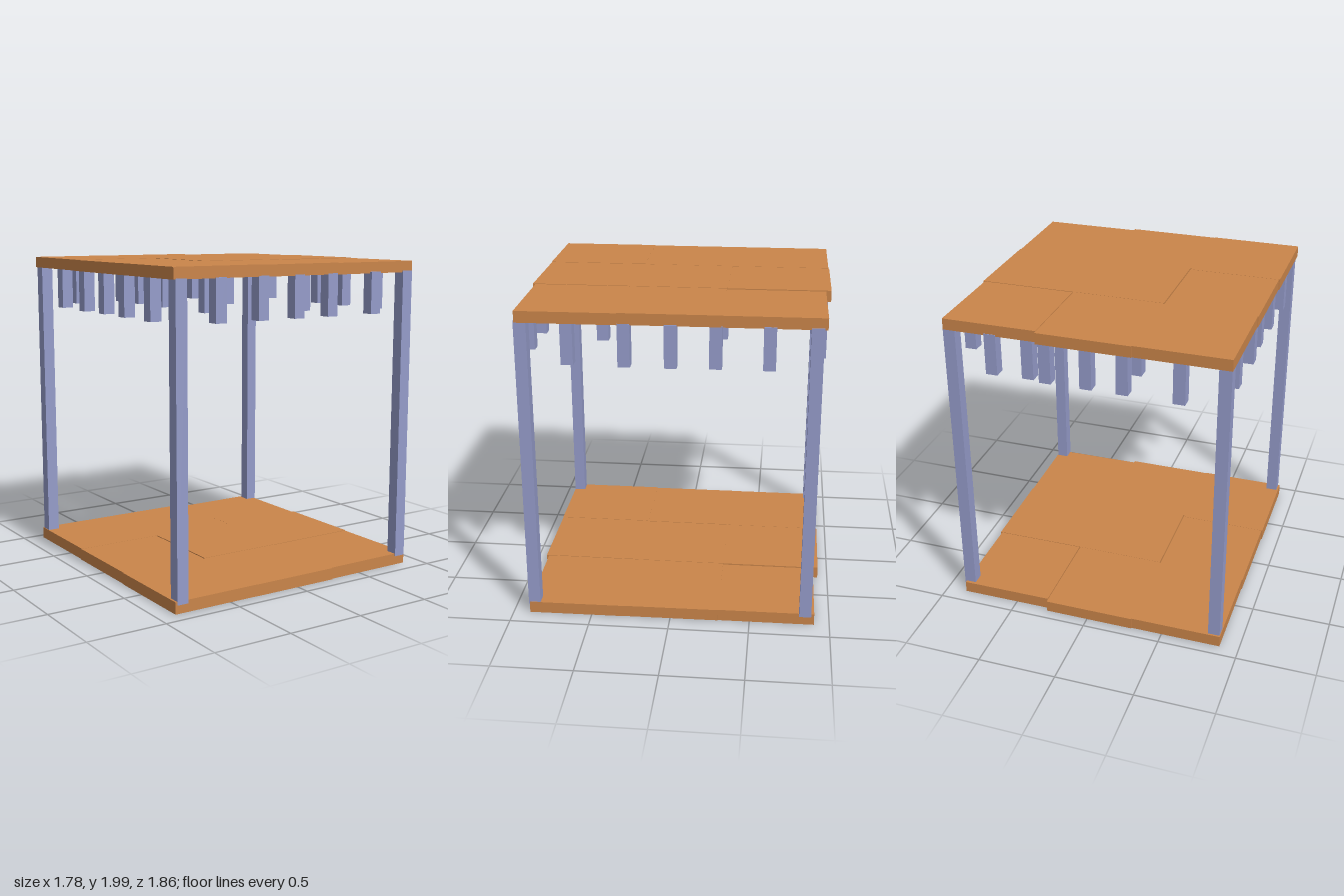
import * as THREE from 'three';

export function createModel() {
  const model = new THREE.Group();
  const wood = new THREE.MeshStandardMaterial({ color: 0xca854a });
  wood.name = 'orangeWood';
  const blue = new THREE.MeshStandardMaterial({ color: 0x959cca });
  blue.name = 'paleBlue';

  function box(name, parent, material, w, h, d, x, y, z) {
    const mesh = new THREE.Mesh(new THREE.BoxGeometry(w, h, d), material);
    mesh.name = name;
    mesh.position.set(x, y, z);
    parent.add(mesh);
    return mesh;
  }

  // Slab tiles: x0, x1, z0, z1, height offset, slight turn
  const tiles = [
    [-0.88, -0.302, -0.93, -0.31, 0.002, 0],
    [-0.302, 0.275, -0.935, -0.3, 0.001, 0],
    [0.283, 0.868, -0.903, -0.298, -0.003, 0.004],
    [-0.884, -0.309, -0.32, 0.29, 0.001, 0],
    [-0.302, 0.275, -0.3, 0.305, 0.002, 0],
    [0.27, 0.88, -0.3, 0.3, 0, 0.008],
    [-0.89, -0.313, 0.285, 0.918, 0.002, 0],
    [-0.313, 0.268, 0.303, 0.916, 0, 0],
    [0.265, 0.882, 0.3, 0.898, -0.003, 0.008],
  ];
  function slab(name, y, h) {
    const group = new THREE.Group();
    group.name = name;
    for (const [x0, x1, z0, z1, dy, turn] of tiles) {
      const tile = box('tile', group, wood, x1 - x0, h, z1 - z0,
        (x0 + x1) / 2, y + dy, (z0 + z1) / 2);
      tile.rotation.y = turn;
    }
    model.add(group);
  }
  slab('floor', 0.048, 0.074);
  slab('roof', 1.963, 0.07);

  // Corner posts
  const posts = new THREE.Group();
  posts.name = 'cornerPosts';
  model.add(posts);
  for (const [x, z] of [[-0.84, 0.882], [0.843, 0.864], [0.84, -0.848], [-0.838, -0.88]]) {
    box('post', posts, blue, 0.075, 1.87, 0.075, x, 1.0, z);
  }

  // Short pegs hanging under the roof
  const pegs = new THREE.Group();
  pegs.name = 'hangingPegs';
  model.add(pegs);
  const pegSpots = [
    // left side
    [0.84, -0.58], [0.84, -0.27], [0.85, -0.01], [0.85, 0.26], [0.84, 0.595],
    // front side
    [0.57, 0.88], [0.23, 0.88], [-0.02, 0.88], [-0.28, 0.88], [-0.58, 0.89],
    // right side
    [-0.84, 0.6], [-0.83, 0.27], [-0.82, -0.01], [-0.83, -0.26], [-0.82, -0.6],
    // back side
    [-0.58, -0.89], [-0.24, -0.88], [-0.02, -0.88], [0.23, -0.88], [0.345, -0.86], [0.57, -0.87],
    // inner
    [-0.24, -0.62], [-0.25, -0.27], [-0.26, 0.265], [0.25, -0.27], [0.345, 0.465],
  ];
  for (const [x, z] of pegSpots) {
    box('peg', pegs, blue, 0.073, 0.26, 0.073, x, 1.805, z);
  }

  return model;
}
